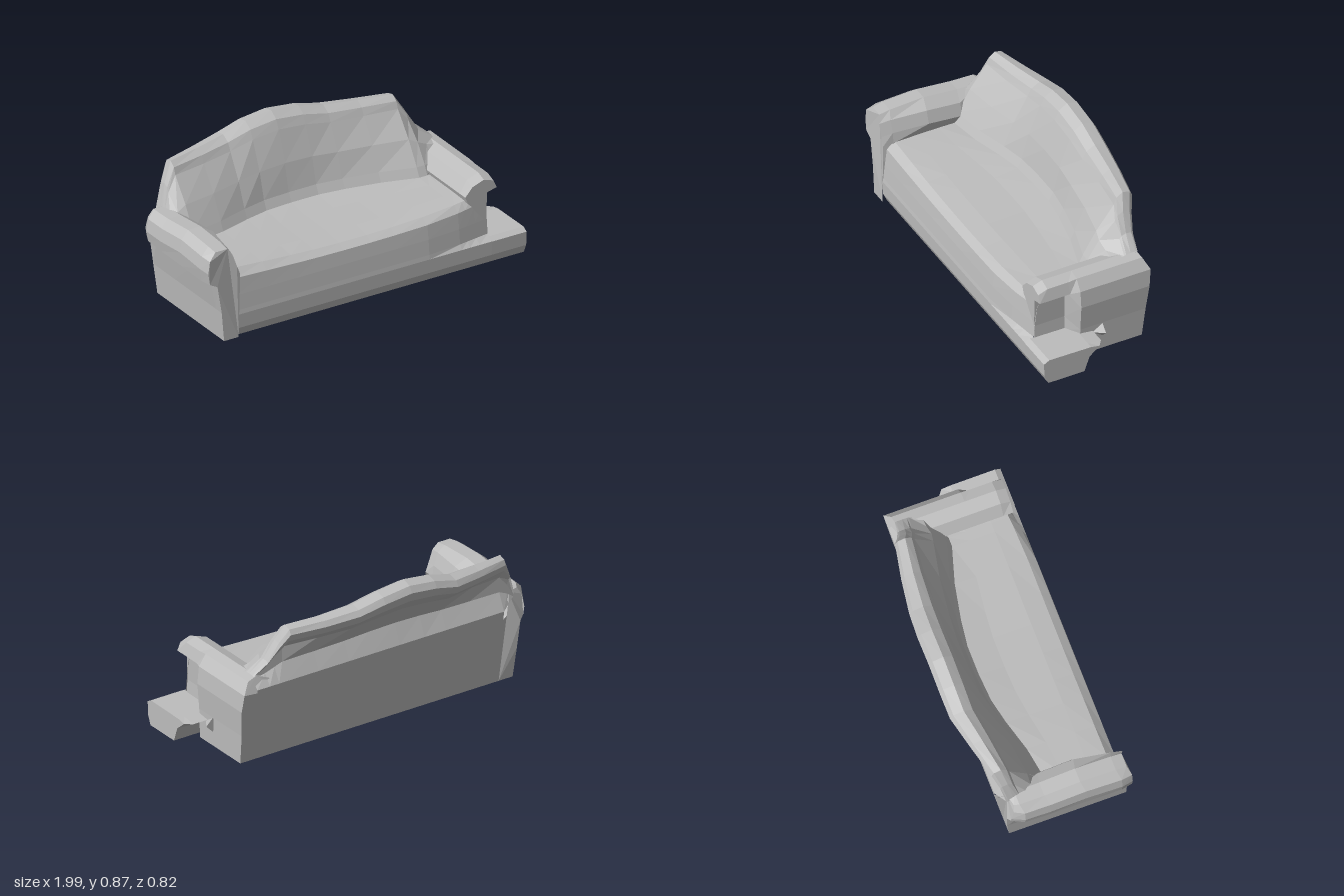
import * as THREE from 'three';

const fabric = new THREE.MeshStandardMaterial({ color: 0xbdbdbd, flatShading: true, side: THREE.DoubleSide });
fabric.name = 'greyFabric';

const mix = (a, b, t) => a + (b - a) * t;

function makeMesh(name, geometry) {
  const mesh = new THREE.Mesh(geometry, fabric);
  mesh.name = name;
  return mesh;
}

// Skin through rows of equal length: rows[i][j] = [x, y, z]
function loft(rows) {
  const n = rows[0].length, index = [];
  for (let i = 0; i < rows.length - 1; i++) {
    for (let j = 0; j < n - 1; j++) {
      const a = i * n + j, b = a + n;
      index.push(a, b, b + 1, a, b + 1, a + 1);
    }
  }
  const g = new THREE.BufferGeometry();
  g.setAttribute('position', new THREE.Float32BufferAttribute(rows.flat(2), 3));
  g.setIndex(index);
  const flat = g.toNonIndexed();
  flat.computeVertexNormals();
  return flat;
}

// End panel over an outline, facing +z or -z
function cap(points, facing) {
  const v = points.map(p => new THREE.Vector2(p[0], p[1]));
  const pos = [];
  for (const [a, b, c] of THREE.ShapeUtils.triangulateShape(v, [])) {
    const area = (v[b].x - v[a].x) * (v[c].y - v[a].y) - (v[b].y - v[a].y) * (v[c].x - v[a].x);
    const order = area * facing > 0 ? [a, b, c] : [a, c, b];
    order.forEach(k => pos.push(...points[k]));
  }
  const g = new THREE.BufferGeometry();
  g.setAttribute('position', new THREE.Float32BufferAttribute(pos, 3));
  g.computeVertexNormals();
  return g;
}

// Cross-section of front panel, seat, backrest and rear panel at one x
function bodySection([x, top, zb, zs, thick]) {
  const k = top - 0.5;
  const rise = f => 0.5 + k * f;
  // seat dips in the middle, and the front panel steps back beside the left arm
  const up = 0.035 * Math.min(1, (x / 0.75) ** 2);
  const step = 0.045 * THREE.MathUtils.clamp((x - 0.5) / 0.29, 0, 1);
  return [
    [0.335, 0.03], [0.358, 0.08], [0.36, 0.16], [0.356 - step, 0.185], [0.347 - step, 0.27],
    [0.335 - step, 0.345 + up * 0.6], [0.29 - step * 0.5, 0.37 + up], [0.18, 0.383 + up * 0.7],
    [mix(0.18, zs, 0.6), 0.388 + up * 0.6], [zs, 0.405],
    [zs - 0.025, 0.455], [mix(zs, zb + thick, 0.5), rise(0.3)],
    [zb + thick, rise(0.77)], [zb + thick * 0.85, rise(0.91)], [zb + thick * 0.52, rise(1)],
    [zb + thick * 0.13, rise(0.96)], [zb, rise(0.86)], [zb + 0.015, rise(0.72)],
    [Math.min(zb + 0.09, -0.3), rise(0.51)], [-0.3, rise(0.2)],
    [-0.345, 0.46], [-0.295, 0.03],
  ].map(([z, y], j) => {
    // lower parts stop where the arms begin
    const low = y < 0.47 ? Math.max(x, -0.79) : x;
    return [j > 6 && j < 10 ? Math.min(low, 0.69) : low, y, z];
  });
}

function buildBody() {
  // x, top height, rear of backrest, seat crease, thickness of top roll
  const stations = [
    [-0.88, 0.53, -0.31, -0.1, 0.08], [-0.84, 0.67, -0.33, -0.07, 0.08], [-0.79, 0.78, -0.36, -0.06, 0.1],
    [-0.6, 0.79, -0.41, -0.09, 0.13], [-0.42, 0.805, -0.455, -0.14, 0.15], [-0.28, 0.845, -0.46, -0.17, 0.155],
    [-0.12, 0.865, -0.46, -0.18, 0.155], [0.05, 0.845, -0.46, -0.18, 0.155], [0.2, 0.81, -0.45, -0.16, 0.15],
    [0.4, 0.793, -0.42, -0.12, 0.13], [0.6, 0.785, -0.38, -0.06, 0.11], [0.65, 0.7, -0.35, -0.06, 0.1],
    [0.71, 0.6, -0.325, -0.08, 0.08], [0.79, 0.53, -0.31, -0.1, 0.08],
  ];
  return makeMesh('seatAndBackrest', loft(stations.map(bodySection)));
}

// Arm shell along z with a front and a back panel
function buildArm(name, rows, frontRow, backRow, frontCorner, backCorner) {
  const arm = new THREE.Group();
  arm.name = name;
  arm.add(
    makeMesh(name + 'Shell', loft(rows)),
    makeMesh(name + 'Front', cap([...frontRow, [...frontCorner, frontRow[0][2]]], 1)),
    makeMesh(name + 'Back', cap([...backRow, [...backCorner, backRow[0][2]]], -1)),
  );
  return arm;
}

// Rear end of the arms follows the lean of the rear panel
const leanBack = y => -0.295 - 0.05 * Math.min(1, (y - 0.03) / 0.43) + Math.max(0, y - 0.46) * 0.6;

function buildRightArm() {
  const path = [
    [-0.88, 0.03], [-0.895, 0.2], [-0.925, 0.36], [-0.98, 0.385], [-0.992, 0.46], [-0.98, 0.53],
    [-0.93, 0.57], [-0.85, 0.57], [-0.785, 0.53], [-0.76, 0.46], [-0.78, 0.4],
  ];
  // z, change in top height, amount of roll, inward shift of the inner side
  const spans = [
    [null, -0.03, 0.5, 0.05], [-0.24, -0.015, 0.9, 0.04], [-0.1, -0.01, 0.95, 0],
    [0.1, 0.01, 0.97, 0], [0.3, 0, 1, 0.03], [0.362, -0.01, 0.85, 0.04],
  ];
  const rows = spans.map(([z, lift, roll, shift]) => path.map(([x, y]) => {
    const px = x < -0.9 ? mix(-0.9, x, roll) : x > -0.8 && y > 0.41 ? x - shift : x;
    const py = y > 0.45 ? y + lift : y;
    const corner = Math.max(0, -0.89 - px) * 0.6;
    return [px, py, z === null ? leanBack(py) + corner : z - (y > 0.55 ? 0.015 : 0)];
  }));
  return buildArm('rightArm', rows, rows[rows.length - 1], rows[0], [-0.79, 0.03], [-0.79, 0.03]);
}

function buildLeftArm() {
  const inner = [[0.77, 0.525], [0.7, 0.5], [0.655, 0.43], [0.67, 0.39]];
  const full = [[0.865, 0.03], [0.87, 0.2], [0.882, 0.35], [0.872, 0.45], [0.83, 0.51], ...inner];
  const recessed = [[0.79, 0.165], [0.785, 0.25], [0.79, 0.425], [0.85, 0.44], [0.83, 0.505], ...inner];
  const spans = [[0.305, recessed], [0.25, recessed], [0.125, recessed], [0.075, full], [-0.1, full], [-0.25, full], [null, full]];
  const rows = spans.map(([z, path], i) => path.map(([x, y]) => {
    const dip = i === 0 && y > 0.48 ? 0.02 : 0;
    return [x, y - dip, z === null ? leanBack(y) : z];
  }));
  return buildArm('leftArm', rows, rows[0], rows[rows.length - 1], [0.7, 0.36], [0.785, 0.03]);
}

// Low ledge sticking out beside the recessed left arm, open underneath
function buildLedge() {
  const outline = [[0.335, 0.03], [0.358, 0.08], [0.362, 0.16], [0.33, 0.178], [0.08, 0.175], [0, 0.165], [0.09, 0.115], [0.12, 0.03]];
  const rows = [[0.785, 0], [0.96, 0], [1, 0.03]].map(([x, trim]) =>
    outline.map(([z, y]) => [x, y, z < 0.05 ? z + trim : z]));
  const end = new THREE.ShapeGeometry(new THREE.Shape(rows[2].map(([, y, z]) => new THREE.Vector2(-z, y))));
  end.rotateY(Math.PI / 2);
  end.translate(1, 0, 0);
  const ledge = new THREE.Group();
  ledge.name = 'sideLedge';
  ledge.add(makeMesh('ledgeShell', loft(rows)), makeMesh('ledgeEnd', end));
  return ledge;
}

// Small pointed cone, turned about x
function buildPoint(name, radius, length, sides, turn, [x, y, z]) {
  const g = new THREE.ConeGeometry(radius, length, sides);
  g.rotateX(turn);
  g.translate(x, y, z);
  return makeMesh(name, g);
}

export function createModel() {
  const sofa = new THREE.Group();
  sofa.name = 'sofa';
  sofa.add(
    buildBody(), buildRightArm(), buildLeftArm(), buildLedge(),
    buildPoint('ledgeFlap', 0.04, 0.06, 4, Math.PI / 2, [0.875, 0.16, -0.025]),
    buildPoint('foot', 0.03, 0.035, 5, Math.PI, [-0.82, 0.0175, -0.21]),
  );
  return sofa;
}
